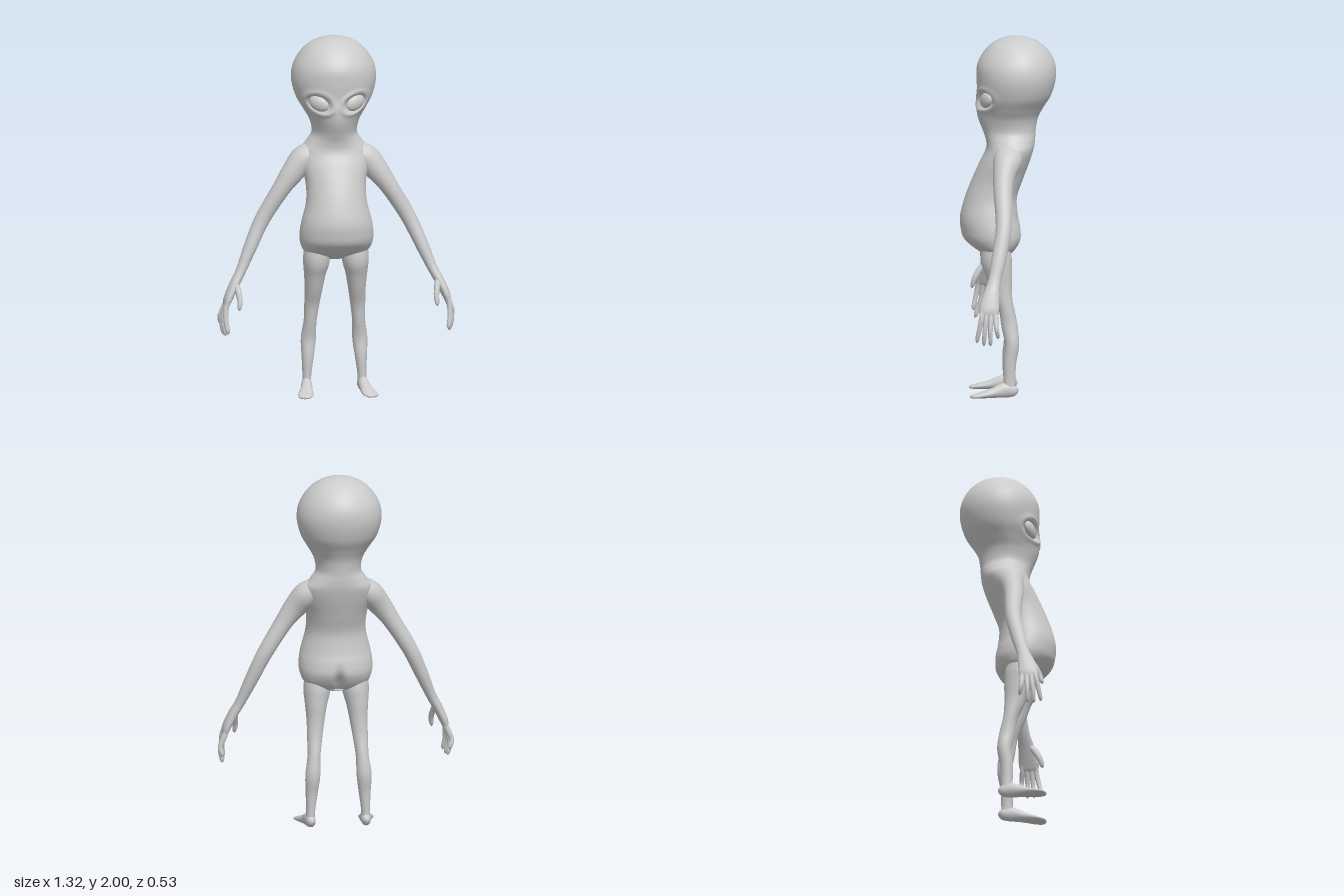
import * as THREE from 'three';

const V = (x, y, z) => new THREE.Vector3(x, y, z);
const material = new THREE.MeshStandardMaterial({ color: 0xcccccc, roughness: 0.8 });

// Catmull-Rom interpolation of rows of numbers, n steps per span
function spline(rows, n) {
  const out = [];
  const last = rows.length - 1;
  for (let k = 0; k <= last * n; k++) {
    const i = Math.min(Math.floor(k / n), last - 1);
    const t = k / n - i;
    const [p0, p1, p2, p3] = [-1, 0, 1, 2].map(d => rows[Math.min(Math.max(i + d, 0), last)]);
    out.push(p1.map((b, c) => {
      const m0 = (p2[c] - p0[c]) / 2, m1 = (p3[c] - b) / 2, d = p2[c] - b;
      return b + m0 * t + (3 * d - 2 * m0 - m1) * t * t + (m0 + m1 - 2 * d) * t * t * t;
    }));
  }
  return out;
}

// Closed smooth skin over rings that run counter-clockwise around the path
function skin(rings, name) {
  const n = rings[0].length, m = rings.length;
  const pos = [], idx = [];
  rings.forEach(r => r.forEach(p => pos.push(p.x, p.y, p.z)));
  for (let i = 0; i < m - 1; i++) {
    for (let j = 0; j < n; j++) {
      const k = (j + 1) % n;
      const a = i * n + j, b = i * n + k, c = b + n, d = a + n;
      idx.push(a, b, c, a, c, d);
    }
  }
  [0, m - 1].forEach((r, end) => {
    const c = rings[r].reduce((s, p) => s.add(p), V(0, 0, 0)).divideScalar(n);
    const ci = pos.length / 3;
    pos.push(c.x, c.y, c.z);
    for (let j = 0; j < n; j++) {
      const a = r * n + j, b = r * n + (j + 1) % n;
      if (end) idx.push(ci, a, b); else idx.push(ci, b, a);
    }
  });
  const g = new THREE.BufferGeometry();
  g.setAttribute('position', new THREE.Float32BufferAttribute(pos, 3));
  g.setIndex(idx);
  g.computeVertexNormals();
  const mesh = new THREE.Mesh(g, material);
  mesh.name = name;
  return mesh;
}

// Limb from stations [x, y, z, radius across, radius along ref]; s mirrors x
function limb(name, stations, s, ref = V(0, 0, 1), sides = 20) {
  const rows = spline(stations.map(([x, ...r]) => [x * s, ...r]), 5);
  const centres = rows.map(r => V(r[0], r[1], r[2]));
  const rings = rows.map((r, i) => {
    const t = centres[Math.min(i + 1, rows.length - 1)].clone()
      .sub(centres[Math.max(i - 1, 0)]).normalize();
    const u = t.clone().cross(ref).normalize();
    const v = t.clone().cross(u);
    return Array.from({ length: sides }, (_, j) => {
      const a = j / sides * Math.PI * 2;
      return centres[i].clone().addScaledVector(u, Math.cos(a) * r[3]).addScaledVector(v, Math.sin(a) * r[4]);
    });
  });
  return skin(rings, name);
}

const EYE = { x: 0.1, y: 1.655, tilt: 0.42, w: 0.06, h: 0.042 };

// Sockets with a raised rim, and the cleft at the seat
function sculpt(p) {
  if (p.z > 0 && p.y > 1.5) {
    const dx = Math.abs(p.x) - EYE.x, dy = p.y - EYE.y;
    const c = Math.cos(EYE.tilt), s = Math.sin(EYE.tilt);
    const d = Math.hypot((dx * c + dy * s) / EYE.w, (dy * c - dx * s) / EYE.h);
    p.z += -0.03 * Math.exp(-(d ** 4)) + 0.01 * Math.exp(-(((d - 1.35) / 0.25) ** 2));
  }
  if (p.z < 0 && p.y < 1) {
    p.z += 0.04 * Math.exp(-((p.x / 0.025) ** 2)) * Math.exp(-(((p.y - 0.82) / 0.07) ** 2));
  }
  return p;
}

// Torso, neck and head: [y, half width, front z, back z, front pinch]
function body() {
  const rows = spline([
    [0.765, 0.05, 0.08, 0.02, 1], [0.78, 0.12, 0.115, -0.01, 1], [0.815, 0.178, 0.18, -0.045, 1],
    [0.87, 0.202, 0.243, -0.073, 1], [0.93, 0.204, 0.262, -0.07, 1], [1.0, 0.192, 0.264, -0.055, 1],
    [1.1, 0.168, 0.238, -0.05, 1], [1.2, 0.168, 0.2, -0.083, 1], [1.3, 0.19, 0.155, -0.12, 1],
    [1.37, 0.19, 0.122, -0.142, 1], [1.42, 0.155, 0.122, -0.15, 1.1], [1.47, 0.126, 0.138, -0.153, 1.25],
    [1.54, 0.138, 0.165, -0.165, 1.4], [1.6, 0.172, 0.174, -0.195, 1.3], [1.67, 0.212, 0.168, -0.238, 1.05],
    [1.76, 0.235, 0.174, -0.264, 1], [1.84, 0.226, 0.17, -0.262, 1], [1.91, 0.188, 0.135, -0.23, 1],
    [1.96, 0.135, 0.086, -0.18, 1], [1.99, 0.07, 0.025, -0.115, 1], [2.0, 0.008, -0.037, -0.053, 1],
  ], 8);
  const sides = 96;
  const rings = rows.map(([y, w, f, b, pinch]) => Array.from({ length: sides }, (_, j) => {
    const a = j / sides * Math.PI * 2;
    const c = Math.cos(a);
    const z = (f + b) / 2 + (f - b) / 2 * (c > 0 ? c ** pinch : c);
    return sculpt(V(w * Math.sin(a), y, z));
  }));
  return skin(rings, 'body');
}

// Slanted almond eye
function eye(s) {
  const m = new THREE.Mesh(new THREE.SphereGeometry(1, 32, 20), material);
  m.scale.set(0.06, 0.042, 0.026);
  m.position.set(s * EYE.x, EYE.y, 0.122);
  m.rotation.set(0, s * 0.45, s * EYE.tilt, 'YXZ');
  m.name = 'eye';
  return m;
}

function arm(s) {
  const g = new THREE.Group();
  // Shoulder to palm
  g.add(limb('armAndPalm', [
    [0.1, 1.37, -0.01, 0.05, 0.07], [0.17, 1.325, 0.005, 0.072, 0.08], [0.235, 1.25, 0.025, 0.064, 0.062],
    [0.3, 1.16, 0.032, 0.05, 0.052], [0.405, 0.99, 0.03, 0.043, 0.044], [0.475, 0.84, 0.055, 0.037, 0.041],
    [0.532, 0.71, 0.083, 0.028, 0.035], [0.57, 0.64, 0.1, 0.027, 0.045], [0.605, 0.565, 0.113, 0.024, 0.055],
    [0.617, 0.525, 0.116, 0.016, 0.048], [0.62, 0.51, 0.117, 0.004, 0.02],
  ], s));
  // Fingers: root z, tip x, y, z
  [[0.155, 0.615, 0.375, 0.18], [0.13, 0.625, 0.36, 0.143], [0.104, 0.632, 0.36, 0.107], [0.078, 0.638, 0.4, 0.066]]
    .forEach(([z, x, y, tz]) => g.add(limb('finger', [
      [0.6, 0.57, z, 0.012, 0.012], [0.622, 0.515, z, 0.016, 0.015],
      [x + 0.008, (0.515 + y) / 2, (z + tz) / 2 + 0.002, 0.014, 0.013],
      [x, y + 0.018, tz, 0.012, 0.011], [x - 0.003, y, tz, 0.002, 0.002],
    ], s, V(0, 0, 1), 10)));
  g.add(limb('thumb', [
    [0.565, 0.66, 0.105, 0.015, 0.016], [0.555, 0.615, 0.145, 0.017, 0.019],
    [0.547, 0.565, 0.174, 0.015, 0.016], [0.55, 0.525, 0.187, 0.012, 0.012], [0.55, 0.508, 0.19, 0.002, 0.002],
  ], s, V(0, 0, 1), 10));
  g.name = s > 0 ? 'leftArm' : 'rightArm';
  return g;
}

function leg(s) {
  const g = new THREE.Group();
  g.add(limb('leg', [
    [0.1, 0.88, 0.07, 0.07, 0.07], [0.108, 0.77, 0.067, 0.075, 0.086], [0.115, 0.69, 0.052, 0.062, 0.074],
    [0.12, 0.6, 0.037, 0.05, 0.058], [0.128, 0.5, 0.014, 0.042, 0.041], [0.135, 0.4, -0.005, 0.036, 0.043],
    [0.143, 0.3, -0.02, 0.042, 0.04], [0.148, 0.2, -0.008, 0.034, 0.036], [0.153, 0.1, -0.006, 0.025, 0.032],
    [0.155, 0.03, -0.006, 0.025, 0.033],
  ], s));
  // Foot turned slightly outward
  g.add(limb('foot', [
    [0.15, 0.032, -0.052, 0.006, 0.01], [0.153, 0.037, -0.035, 0.024, 0.03], [0.157, 0.043, 0.015, 0.03, 0.042],
    [0.165, 0.03, 0.08, 0.034, 0.029], [0.178, 0.018, 0.15, 0.043, 0.017], [0.187, 0.012, 0.195, 0.035, 0.011],
    [0.19, 0.01, 0.21, 0.012, 0.005],
  ], s, V(0, 1, 0)));
  g.name = s > 0 ? 'leftLeg' : 'rightLeg';
  return g;
}

export function createModel() {
  const model = new THREE.Group();
  model.name = 'alienFigure';
  model.add(body());
  for (const s of [1, -1]) model.add(eye(s), arm(s), leg(s));
  return model;
}
